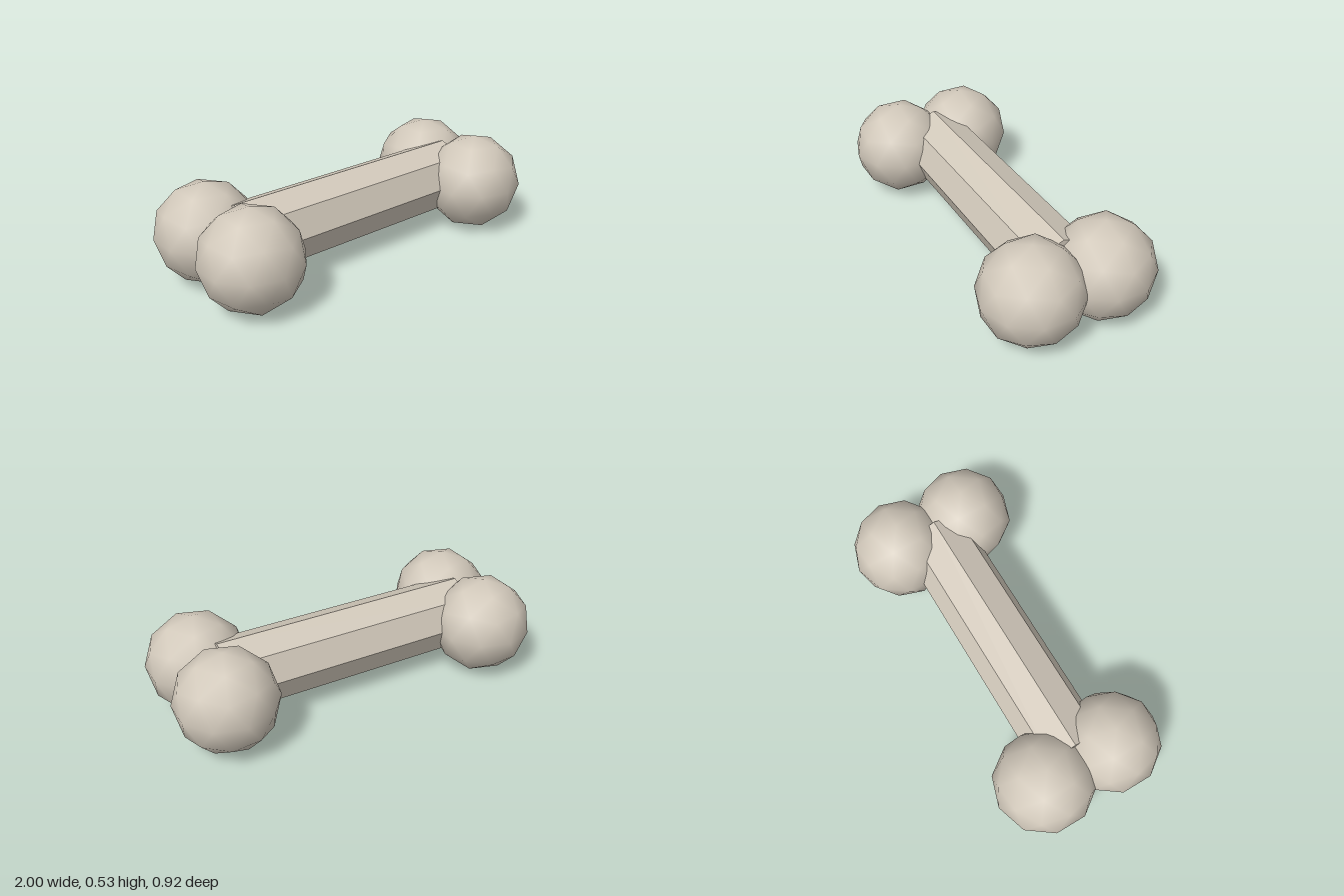
import * as THREE from 'three';

export function createModel() {
  const model = new THREE.Group();
  const bone = new THREE.MeshStandardMaterial({ color: 0xd2c9bb });
  bone.name = 'bone';
  const midY = 0.265;

  // Eight-sided shaft along x, with hard facets
  let shaftGeo = new THREE.CylinderGeometry(0.193, 0.193, 1.41, 8);
  shaftGeo.rotateZ(Math.PI / 2);
  shaftGeo = shaftGeo.toNonIndexed();
  shaftGeo.computeVertexNormals();
  const shaft = new THREE.Mesh(shaftGeo, bone);
  shaft.name = 'shaft';
  shaft.position.y = midY;
  model.add(shaft);

  // Smooth icosphere knob, turned so that one corner points straight up
  const knobGeo = new THREE.IcosahedronGeometry(0.264, 1);
  knobGeo.rotateX(-Math.atan2((1 + Math.sqrt(5)) / 2, 1));
  knobGeo.rotateY(Math.PI / 2);

  // A pair of knobs at each end
  for (const x of [-1, 1]) {
    for (const z of [-1, 1]) {
      const knob = new THREE.Mesh(knobGeo, bone);
      knob.name = (z > 0 ? 'front' : 'back') + (x > 0 ? 'Left' : 'Right') + 'Knob';
      knob.position.set(x * 0.749, midY, z * 0.195);
      model.add(knob);
    }
  }
  return model;
}
